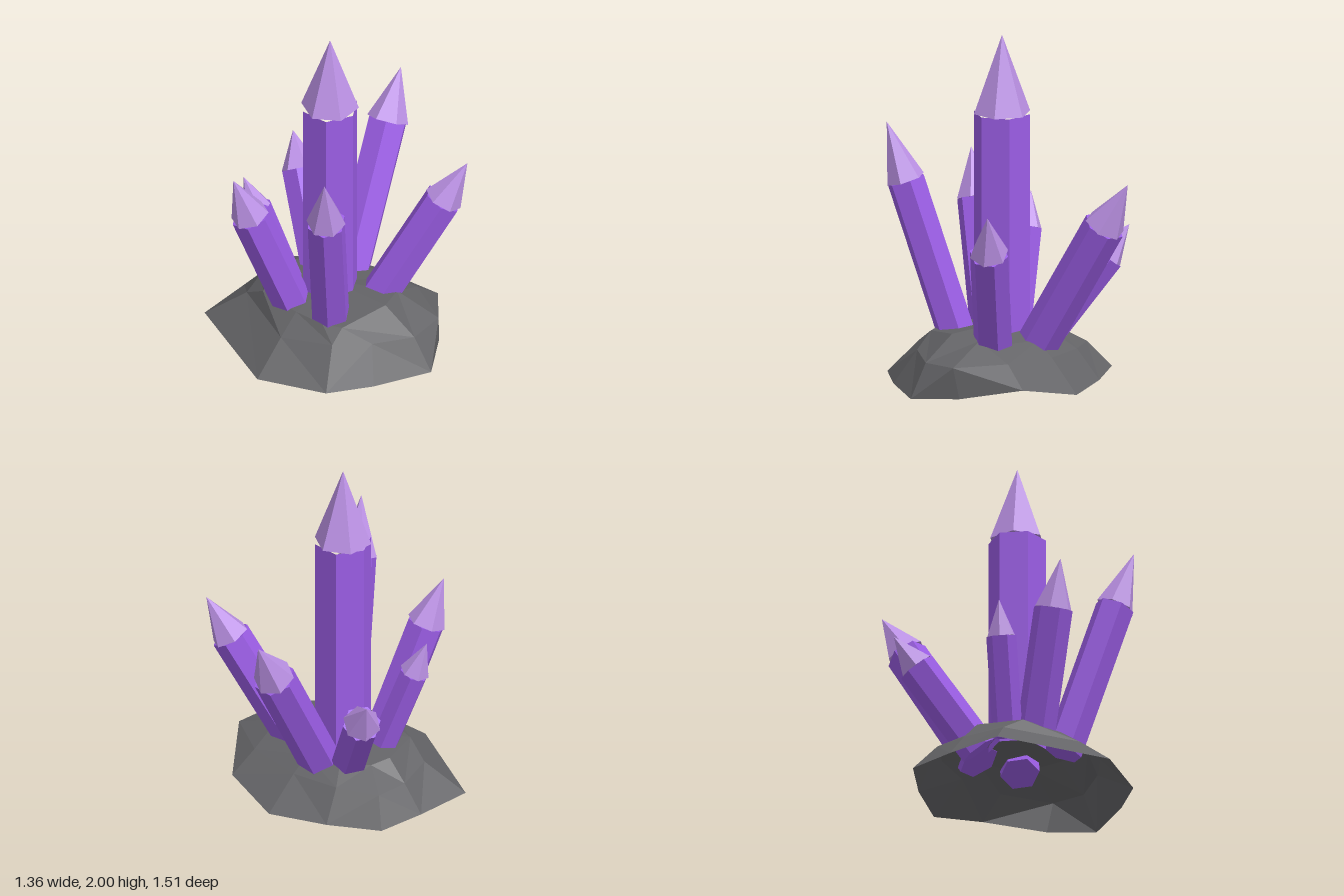
import * as THREE from 'three';

const shaftMat = new THREE.MeshStandardMaterial({ color: 0x9b5de5, flatShading: true });
shaftMat.name = 'purple';
const tipMat = new THREE.MeshStandardMaterial({ color: 0xbc92e6, flatShading: true });
tipMat.name = 'pale purple';
const rockMat = new THREE.MeshStandardMaterial({ color: 0x646467, flatShading: true, side: THREE.DoubleSide });
rockMat.name = 'dark grey';

// Open-bottomed rock: rim, shoulder and crown loops of equal length, closed by an apex
function makeRock() {
  const rim = [[-0.05, 0, 0.755], [0.34, 0, 0.62], [0.51, 0, 0.4], [0.68, 0, 0.09], [0.54, 0.02, -0.16],
    [0.31, 0.08, -0.44], [-0.05, 0, -0.51], [-0.37, 0, -0.37], [-0.64, 0, -0.2], [-0.67, 0, 0.09], [-0.68, 0, 0.44]];
  const shoulder = [[-0.05, 0.17, 0.54], [0.25, 0.2, 0.45], [0.42, 0.2, 0.3], [0.56, 0.19, 0.09], [0.56, 0.2, -0.13],
    [0.28, 0.2, -0.29], [-0.05, 0.18, -0.31], [-0.32, 0.17, -0.24], [-0.53, 0.15, -0.11], [-0.54, 0.15, 0.09], [-0.47, 0.17, 0.32]];
  const crown = [[-0.05, 0.27, 0.4], [0.14, 0.27, 0.4], [0.25, 0.27, 0.36], [0.35, 0.32, 0.09], [0.3, 0.3, -0.08],
    [0.15, 0.27, -0.16], [-0.05, 0.26, -0.2], [-0.25, 0.25, -0.14], [-0.38, 0.25, -0.02], [-0.42, 0.27, 0.09], [-0.33, 0.26, 0.35]];
  const n = rim.length;
  const points = [...rim, ...shoulder, ...crown, [-0.05, 0.315, 0.09]];
  const index = [];
  for (let i = 0; i < n; i++) {
    const j = (i + 1) % n;
    for (const a of [0, n]) {
      if (i % 2) index.push(a + i, a + j, a + n + j, a + i, a + n + j, a + n + i);
      else index.push(a + i, a + j, a + n + i, a + j, a + n + j, a + n + i);
    }
    index.push(2 * n + i, 2 * n + j, 3 * n);
  }
  const geo = new THREE.BufferGeometry();
  geo.setAttribute('position', new THREE.Float32BufferAttribute(points.flat(), 3));
  geo.setIndex(index);
  const flat = geo.toNonIndexed();
  flat.computeVertexNormals();
  const rock = new THREE.Mesh(flat, rockMat);
  rock.name = 'rockBase';
  return rock;
}

// Six-sided shaft with a cone tip turned by half a side, leaning from foot to tip
function makeCrystal(name, foot, tip, radius, tipLength, open = false) {
  const a = new THREE.Vector3(...foot);
  const dir = new THREE.Vector3(...tip).sub(a);
  const length = dir.length();
  const shaftLength = length - tipLength;
  const sink = 0.04;
  const group = new THREE.Group();
  group.name = name;

  const shaft = new THREE.Mesh(
    new THREE.CylinderGeometry(radius, radius, shaftLength + sink, 6, 1, open), shaftMat);
  shaft.rotation.y = Math.PI / 6;
  shaft.position.y = (shaftLength - sink) / 2;
  shaft.name = name + 'Shaft';

  const point = new THREE.Mesh(new THREE.ConeGeometry(radius, tipLength, 6), tipMat);
  point.position.y = shaftLength + tipLength / 2;
  point.name = name + 'Tip';

  group.add(shaft, point);
  group.position.copy(a);
  group.quaternion.setFromUnitVectors(new THREE.Vector3(0, 1, 0), dir.normalize());
  return group;
}

export function createModel() {
  const model = new THREE.Group();
  model.name = 'crystalCluster';
  model.add(
    makeRock(),
    makeCrystal('centreCrystal', [-0.05, 0.28, 0.09], [-0.05, 2, 0.09], 0.165, 0.455, true),
    makeCrystal('backCrystal', [-0.1, 0.26, -0.17], [-0.21, 1.25, -0.76], 0.12, 0.31),
    makeCrystal('frontLeftCrystal', [0.12, 0.27, 0.3], [0.335, 1.46, 0.63], 0.112, 0.35),
    makeCrystal('frontRightCrystal', [-0.16, 0.26, 0.31], [-0.33, 1.19, 0.62], 0.112, 0.29),
    makeCrystal('smallRightCrystal', [-0.27, 0.26, 0.19], [-0.5, 0.96, 0.31], 0.086, 0.21),
    makeCrystal('backRightCrystal', [-0.25, 0.25, -0.06], [-0.65, 0.855, -0.33], 0.11, 0.22),
    makeCrystal('backLeftCrystal', [0.19, 0.26, -0.08], [0.555, 1.13, -0.4], 0.112, 0.28)
  );
  return model;
}
